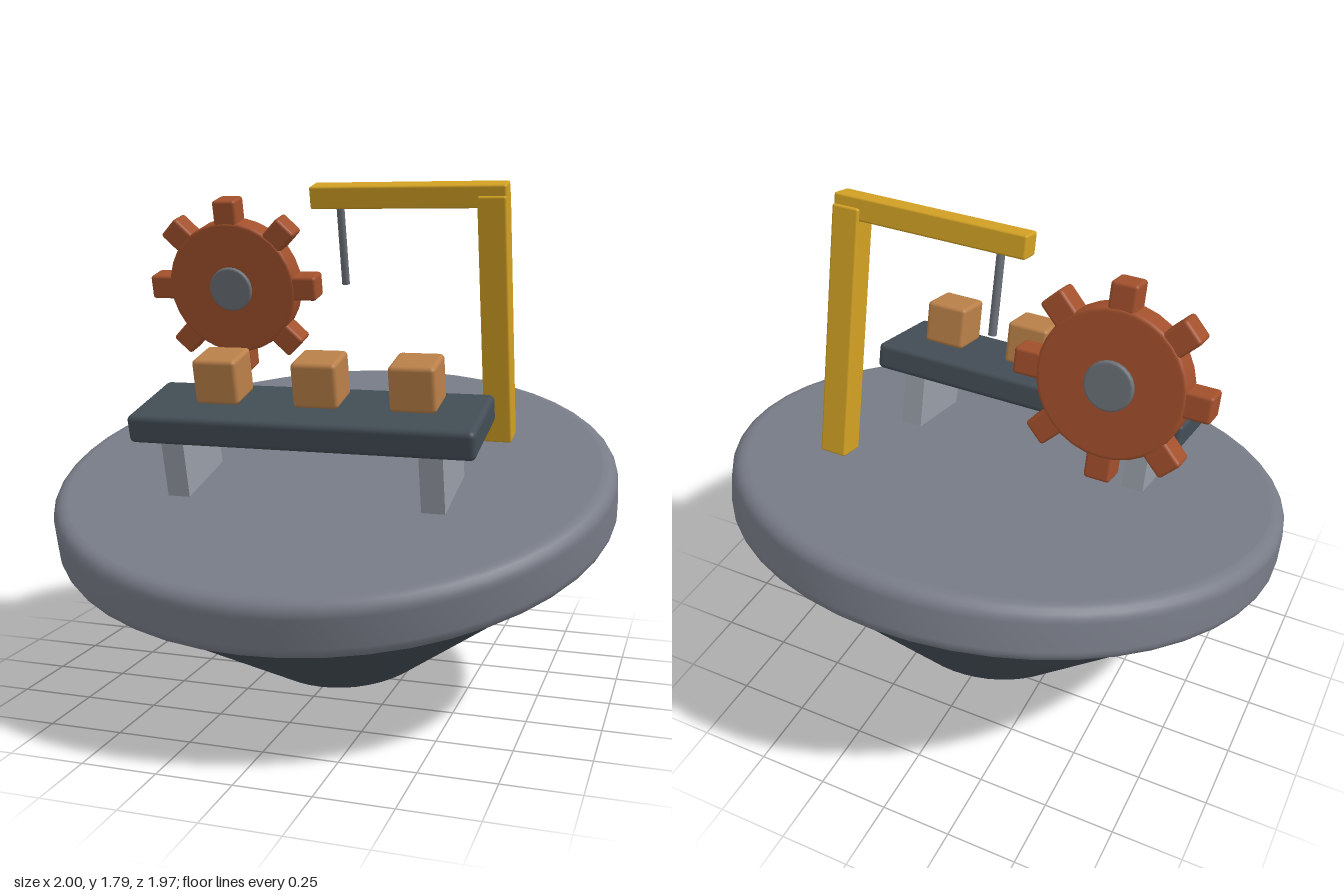
import * as THREE from 'three';
import { RoundedBoxGeometry } from 'three/addons/geometries/RoundedBoxGeometry.js';

const mat = (name, color) => {
  const m = new THREE.MeshStandardMaterial({ color });
  m.name = name;
  return m;
};

export function createModel() {
  const grey = mat('deck grey', 0x787c87);
  const dark = mat('dark slate', 0x434d55);
  const light = mat('light grey', 0x989ea7);
  const steel = mat('steel', 0x6a7077);
  const yellow = mat('crane yellow', 0xd2a124);
  const rust = mat('rust', 0xa2502c);
  const tan = mat('crate tan', 0xba8049);

  const model = new THREE.Group();
  model.name = 'tiltedWorkshop';
  // Everything is built upright on the deck, then tilted forward as one.
  const tilted = new THREE.Group();
  tilted.name = 'tiltedPlatform';
  tilted.rotation.x = THREE.MathUtils.degToRad(14);
  tilted.position.set(0, 0.804, 0.027);
  model.add(tilted);

  const add = (parent, name, geo, material, x, y, z) => {
    const mesh = new THREE.Mesh(geo, material);
    mesh.name = name;
    mesh.position.set(x, y, z);
    parent.add(mesh);
    return mesh;
  };
  const box = (parent, name, material, size, pos, r = 0.01) =>
    add(parent, name, new RoundedBoxGeometry(...size, 3, r), material, ...pos);

  // Disc with rounded rims, centred on its own middle
  const roundedDisc = (radius, height, bevel, segments) => {
    const h = height / 2, steps = 5, inner = radius - bevel;
    const pts = [new THREE.Vector2(0, -h), new THREE.Vector2(inner - 0.004, -h)];
    for (const side of [-1, 1]) {
      for (let i = 0; i <= steps; i++) {
        const a = (side < 0 ? i - steps : i) / steps * Math.PI / 2;
        pts.push(new THREE.Vector2(inner + bevel * Math.cos(a), side * (h - bevel) + bevel * Math.sin(a)));
      }
    }
    pts.push(new THREE.Vector2(inner - 0.004, h), new THREE.Vector2(0, h));
    return new THREE.LatheGeometry(pts, segments);
  };

  // Deck and tapered base
  add(tilted, 'deck', roundedDisc(1, 0.2, 0.05, 48), grey, 0, -0.1, 0);
  const cone = [[0, -0.75], [0.296, -0.75], [0.3, -0.75], [0.317, -0.746], [0.333, -0.735],
    [0.337, -0.7315], [0.937, -0.212], [0.94, -0.206], [0.935, -0.198], [0, -0.198]];
  add(tilted, 'taperedBase', new THREE.LatheGeometry(cone.map(p => new THREE.Vector2(...p)), 48), dark, 0, 0, 0);

  // Conveyor with two legs and three crates
  const conveyor = new THREE.Group();
  conveyor.name = 'conveyor';
  tilted.add(conveyor);
  box(conveyor, 'conveyorBelt', dark, [1.2, 0.1, 0.35], [0, 0.25, 0.2], 0.02);
  for (const s of [-1, 1]) {
    add(conveyor, 'conveyorLeg', new THREE.BoxGeometry(0.08, 0.21, 0.3), light, 0.45 * s, 0.1, 0.2);
  }
  for (const x of [-0.3, 0.05, 0.38]) {
    box(conveyor, 'crate', tan, [0.156, 0.156, 0.156], [x, 0.395, 0.2], 0.015);
  }

  // Crane: post, arm and hanging rod
  const crane = new THREE.Group();
  crane.name = 'crane';
  tilted.add(crane);
  box(crane, 'cranePost', yellow, [0.1, 0.9, 0.1], [0.55, 0.45, -0.3], 0.008);
  box(crane, 'craneArm', yellow, [0.7, 0.08, 0.08], [0.25, 0.897, -0.3], 0.008);
  add(crane, 'craneRod', new THREE.CylinderGeometry(0.014, 0.014, 0.3, 16), steel, 0, 0.725, -0.3);

  // Gear with eight teeth and a hub through its middle
  const gear = new THREE.Group();
  gear.name = 'gear';
  gear.position.set(-0.452, 0.55, -0.35);
  tilted.add(gear);
  add(gear, 'gearBody', roundedDisc(0.25, 0.1, 0.012, 32), rust, 0, 0, 0).rotation.x = Math.PI / 2;
  add(gear, 'gearHub', roundedDisc(0.083, 0.13, 0.008, 24), steel, 0, 0, 0).rotation.x = Math.PI / 2;
  for (let i = 0; i < 8; i++) {
    const a = i * Math.PI / 4;
    const tooth = box(gear, 'gearTooth', rust, [0.12, 0.09, 0.094],
      [0.27 * Math.cos(a), 0.27 * Math.sin(a), 0], 0.012);
    tooth.rotation.z = a;
  }

  return model;
}
